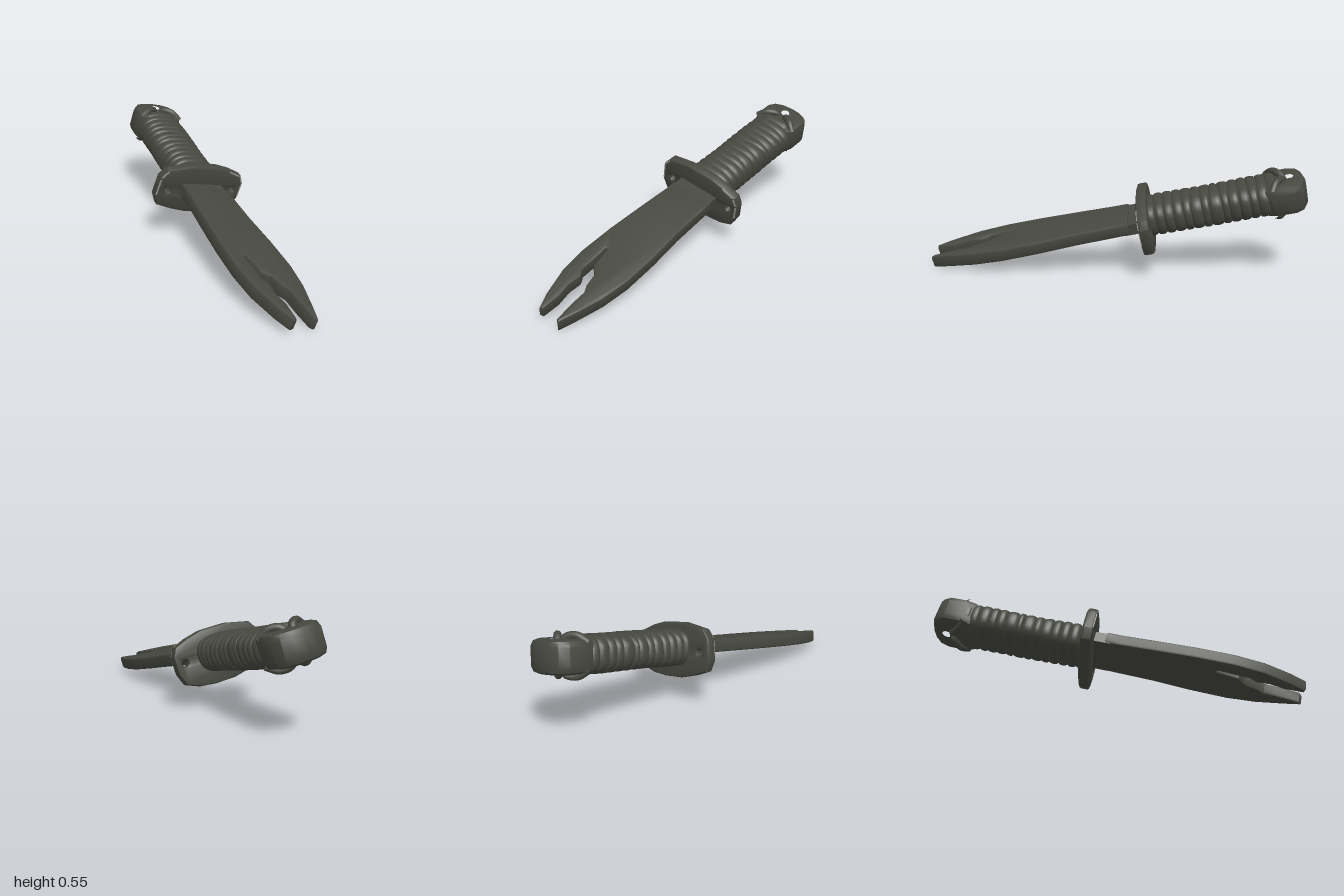
import * as THREE from 'three';
import { mergeVertices, toCreasedNormals } from 'three/addons/utils/BufferGeometryUtils.js';

const darkMetal = new THREE.MeshStandardMaterial({ color: 0x46473f });
darkMetal.name = 'dark weathered metal';
const wornEdge = new THREE.MeshStandardMaterial({ color: 0x94948f });
wornEdge.name = 'worn bare edge';

// small seeded random
let seed = 11;
const rnd = () => (seed = (seed * 16807) % 2147483647) / 2147483647;

function add(parent, name, geometry, material = darkMetal) {
  const m = new THREE.Mesh(geometry, material);
  m.name = name;
  parent.add(m);
  return m;
}

// bevelled plate of given total thickness, centred on its own plane
function plate(points, thickness, bevel, holes = [], curveSegments = 10) {
  const shape = new THREE.Shape(points.map(p => new THREE.Vector2(...p)));
  for (const [x, y, r] of holes) {
    const h = new THREE.Path();
    h.absarc(x, y, r, 0, Math.PI * 2, true);
    shape.holes.push(h);
  }
  const g = new THREE.ExtrudeGeometry(shape, {
    depth: thickness - 2 * bevel, bevelThickness: bevel, bevelSize: bevel,
    bevelOffset: -bevel, bevelSegments: 2, curveSegments
  });
  g.translate(0, 0, -thickness / 2 + bevel);
  return toCreasedNormals(g, 0.6);
}

// split blade: left edge, broken notch, right edge (x, length)
const bladeOutline = [
  [-.127, -.08], [-.126, 0], [-.134, .2], [-.14, .41], [-.136, .61], [-.114, .77], [-.064, .92], [-.024, 1.005],
  [-.004, 1.0], [-.003, .9], [-.02, .815], [-.016, .745], [-.041, .705], [-.043, .65], [-.054, .53],
  [-.044, .53], [-.022, .65], [.023, .69], [.041, .76], [.065, .8], [.071, .89], [.086, .995],
  [.106, 1.01], [.13, .92], [.163, .77], [.176, .615], [.166, .41], [.145, .205], [.135, 0], [.13, -.08]
].reverse();

const guardOutline = [
  [-.263, -.036], [-.238, -.093], [-.15, -.122], [-.06, -.142], [.06, -.145], [.15, -.136], [.222, -.11],
  [.252, -.051], [.259, .043], [.239, .089], [.16, .122], [.078, .143], [-.075, .148], [-.213, .124], [-.251, .078]
];

// cord-wrapped grip: a cylinder whose radius bulges once per band
function gripGeometry() {
  const bands = 14, z0 = -.175, z1 = -.87, length = z0 - z1;
  const bulge = [], tilt = [];
  for (let i = 0; i <= bands; i++) {
    bulge.push(.85 + rnd() * .25);
    tilt.push((rnd() - .5) * .5);
  }
  const g = new THREE.CylinderGeometry(1, 1, 1, 40, bands * 8);
  g.deleteAttribute('uv');
  g.deleteAttribute('normal');
  g.rotateX(Math.PI / 2);
  const p = g.attributes.position;
  for (let i = 0; i < p.count; i++) {
    const r = Math.hypot(p.getX(i), p.getY(i));
    const a = Math.atan2(p.getY(i), p.getX(i));
    const t = .5 - p.getZ(i);
    const k = Math.min(bands - 1, Math.floor(t * bands));
    const f = t * bands - k;
    const mix = arr => arr[k] + (arr[k + 1] - arr[k]) * f;
    const ridge = Math.sqrt(Math.abs(Math.sin(Math.PI * f)));
    const w = 1 + .09 * (ridge * mix(bulge) - 1) + .012 * Math.sin(3 * a + 9 * t);
    const flat = v => Math.sign(v) * Math.pow(Math.abs(v), .78);
    p.setXYZ(i,
      flat(Math.cos(a)) * r * w * (.13 + .006 * t),
      flat(Math.sin(a)) * r * w * .098,
      z0 - t * length + mix(tilt) * .05 * Math.cos(a) * Math.sin(Math.PI * t));
  }
  const merged = mergeVertices(g);
  merged.computeVertexNormals();
  return toCreasedNormals(merged, 1.0);
}

// pommel outline with a rounded rear end
const pommelOutline = [
  [.118, -.8], [-.118, -.8], [-.137, -.86], [-.137, -.955], [-.11, -1.0], [-.06, -1.022],
  [0, -1.028], [.06, -1.022], [.11, -1.0], [.137, -.955], [.137, -.86]
].reverse();

export function createModel() {
  const model = new THREE.Group();
  model.name = 'brokenKnife';
  const knife = new THREE.Group();
  knife.name = 'knife';
  knife.rotation.set(.2, .055, -.22, 'YXZ');
  knife.position.set(0, .257, 0);
  model.add(knife);

  // blade and its thinner neck
  add(knife, 'blade', plate(bladeOutline, .072, .013).rotateX(Math.PI / 2));
  const neck = add(knife, 'bladeNeck', new THREE.BoxGeometry(.245, .062, .12));
  neck.position.set(0, -.006, -.11);

  // guard with two holes and scuffed corners
  const guard = new THREE.Group();
  guard.name = 'guard';
  guard.position.set(0, -.015, -.168);
  guard.rotation.z = .05;
  knife.add(guard);
  add(guard, 'guardPlate', plate(guardOutline, .058, .012, [[-.193, .001, .018], [.202, .001, .018]]));
  for (const [i, j] of [[14, 13], [14, 0], [9, 10], [8, 7], [8, 9]]) {
    const a = new THREE.Vector2(...guardOutline[i]).multiplyScalar(.972);
    const b = new THREE.Vector2(...guardOutline[j]).multiplyScalar(.972);
    const chip = add(guard, 'guardWear', new THREE.BoxGeometry(a.distanceTo(b) * .85, .009, .004), wornEdge);
    chip.position.set((a.x + b.x) / 2, (a.y + b.y) / 2, .0265);
    chip.rotation.z = Math.atan2(b.y - a.y, b.x - a.x);
  }

  // wrapped grip
  add(knife, 'gripWrap', gripGeometry());

  // pommel with lanyard hole, and the cord ends crossing beside it
  add(knife, 'pommel', plate(pommelOutline, .165, .035, [[0, -.945, .06]]).rotateX(Math.PI / 2));
  for (const side of [1, -1]) {
    for (const s of [1, -1]) {
      const path = new THREE.CatmullRomCurve3([
        [s * .012, side * .03, -.925], [s * .03, side * .085, -.905],
        [s * .075, side * .094, -.872], [s * .125, side * .06, -.84]
      ].map(v => new THREE.Vector3(...v)));
      add(knife, 'cordEnd', new THREE.TubeGeometry(path, 14, .02, 10));
    }
  }
  return model;
}
